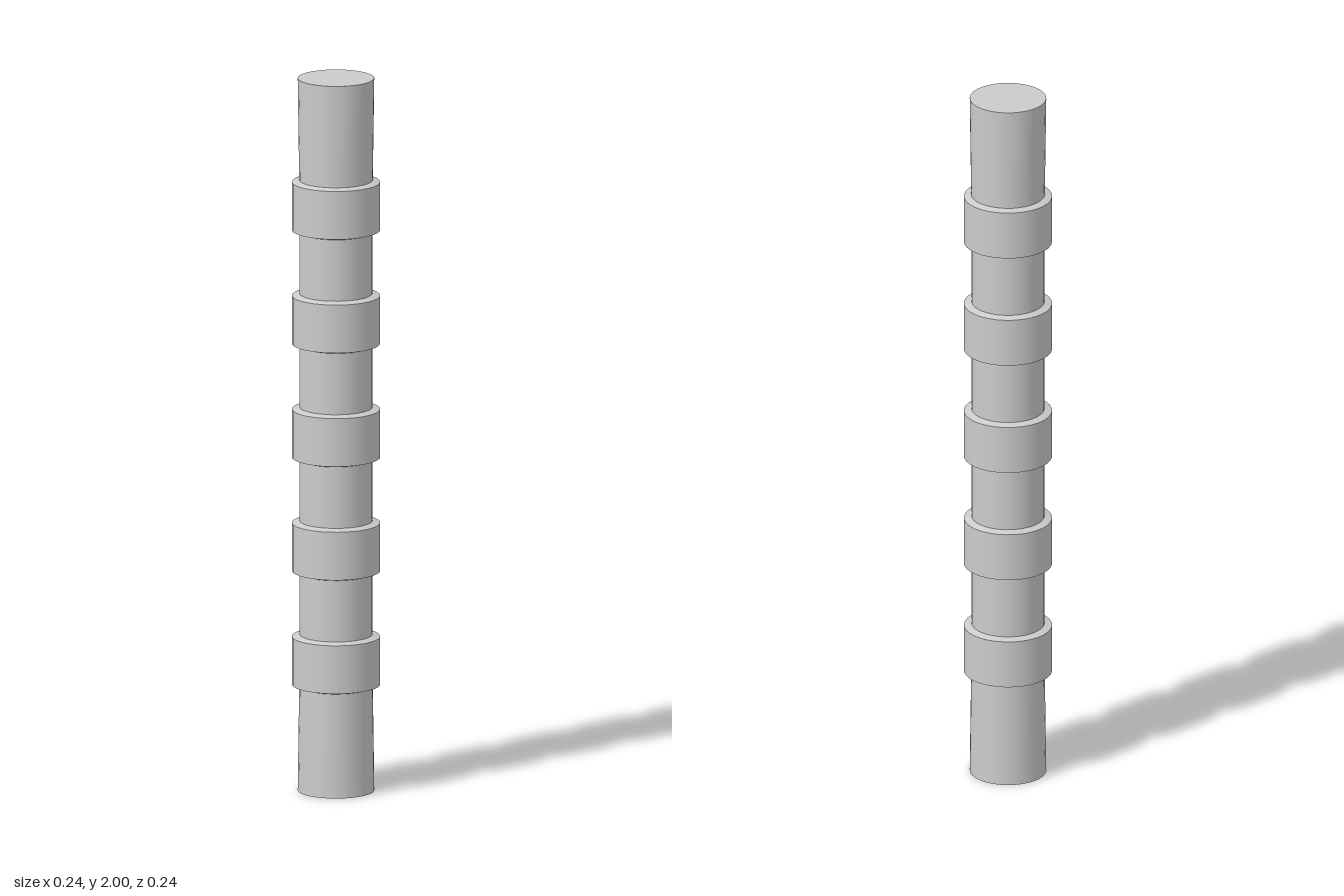
import * as THREE from 'three';

const SIDES = 32;
const material = new THREE.MeshStandardMaterial({ color: 0xcccccc });

// Tapered round section between two heights
function section(name, y0, y1, r0, r1, open = false) {
  const geometry = new THREE.CylinderGeometry(r1, r0, y1 - y0, SIDES, 1, open);
  const mesh = new THREE.Mesh(geometry, material);
  mesh.name = name;
  mesh.position.y = (y0 + y1) / 2;
  return mesh;
}

export function createModel() {
  const model = new THREE.Group();
  model.name = 'ringedPole';

  const poleRadius = 0.1, endRadius = 0.105, ringRadius = 0.121;
  const ringHeight = 0.147, bevel = 0.006, spacing = 0.319, middle = 1.003;
  const lowest = middle - 2 * spacing, highest = middle + 2 * spacing;

  // Straight shaft with slightly flared ends
  model.add(section('lowerEnd', 0, lowest, endRadius, poleRadius));
  model.add(section('shaft', lowest, highest, poleRadius, poleRadius));
  model.add(section('upperEnd', highest, 2, poleRadius, endRadius));

  // Five evenly spaced collars with gently sloping shoulders
  for (let i = 0; i < 5; i++) {
    const y = lowest + i * spacing, h = ringHeight / 2;
    const collar = new THREE.Group();
    collar.name = `collar${i + 1}`;
    collar.add(
      section('lowerShoulder', y - h, y - h + bevel, poleRadius, ringRadius, true),
      section('band', y - h + bevel, y + h - bevel, ringRadius, ringRadius, true),
      section('upperShoulder', y + h - bevel, y + h, ringRadius, poleRadius, true)
    );
    model.add(collar);
  }
  return model;
}
